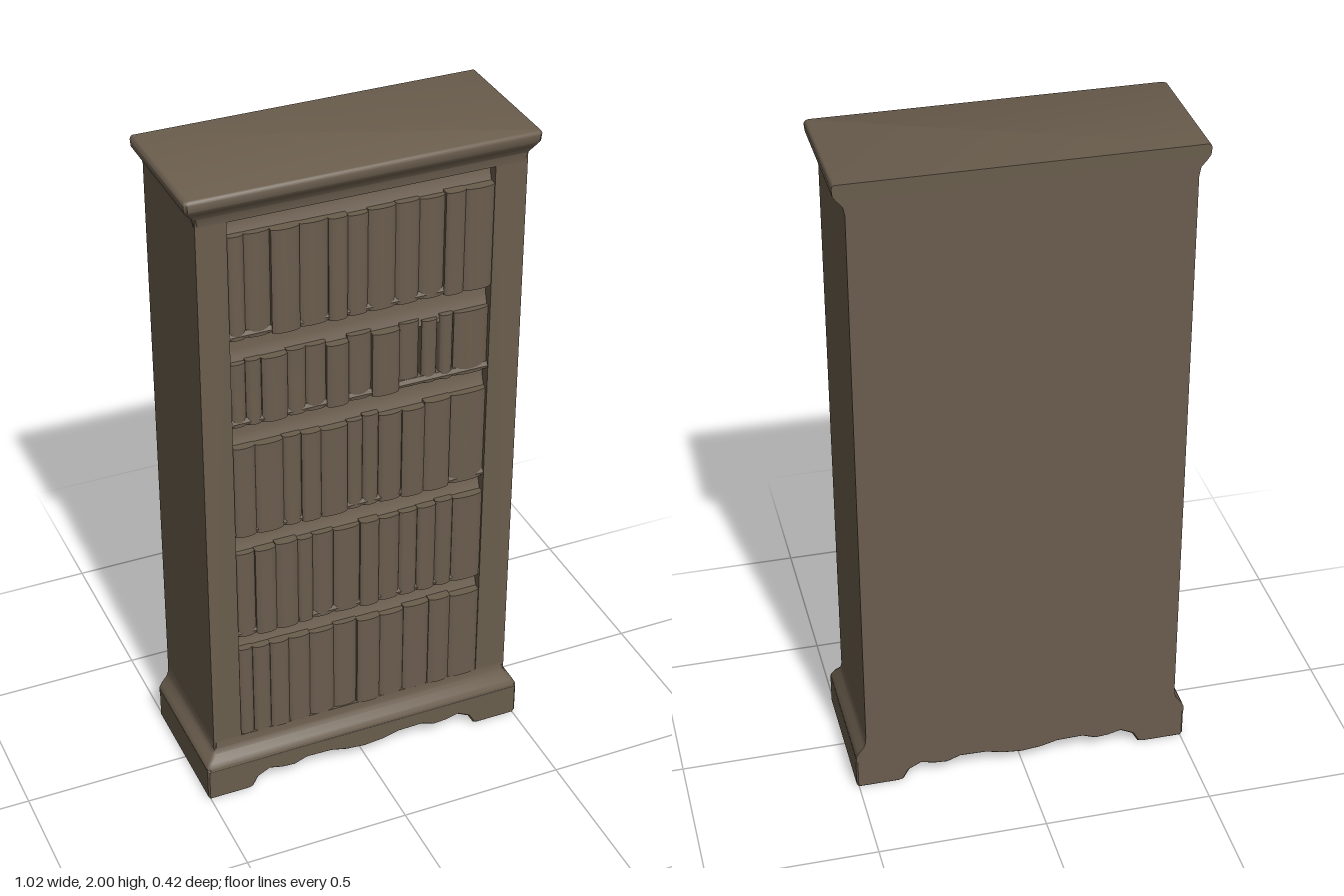
import * as THREE from 'three';
import { toCreasedNormals } from 'three/addons/utils/BufferGeometryUtils.js';

const BACK = -0.21, FRONT = 0.18, HALF = 0.475;
const LEFT = -0.388, RIGHT = 0.38; // edges of the shelf opening

// Stack of rectangles with clipped front corners; each level is [y, half width, front z]
function loft(levels, clip = 0.008) {
  const pos = [], index = [], n = 6;
  for (const [y, h, f] of levels) {
    pos.push(-h, y, BACK, -h, y, f - clip, -h + clip, y, f, h - clip, y, f, h, y, f - clip, h, y, BACK);
  }
  for (let i = 0; i < levels.length - 1; i++) {
    for (let j = 0; j < n; j++) {
      const a = i * n + j, b = i * n + (j + 1) % n;
      index.push(a, b, b + n, a, b + n, a + n);
    }
  }
  const top = (levels.length - 1) * n;
  for (let j = 1; j < n - 1; j++) {
    index.push(0, j + 1, j, top, top + j, top + j + 1);
  }
  const g = new THREE.BufferGeometry();
  g.setAttribute('position', new THREE.Float32BufferAttribute(pos, 3));
  g.setIndex(index);
  return toCreasedNormals(g, 0.75);
}

// Profile in (z, y) swept across the opening
function sweepX(points) {
  const shape = new THREE.Shape(points.map(([z, y]) => new THREE.Vector2(-z, y)));
  const g = new THREE.ExtrudeGeometry(shape, { depth: RIGHT - LEFT, bevelEnabled: false });
  g.rotateY(Math.PI / 2).translate(LEFT, 0, 0);
  return toCreasedNormals(g, 0.6);
}

// Book with a softly rounded spine
function bookGeometry(w, h, z) {
  const s = new THREE.Shape();
  s.moveTo(-w / 2, -0.13);
  s.lineTo(w / 2, -0.13);
  s.lineTo(w / 2, -(z - 0.01));
  s.quadraticCurveTo(w * 0.4, -z, 0, -z);
  s.quadraticCurveTo(-w * 0.4, -z, -w / 2, -(z - 0.01));
  // the outline is mirrored in z, then stood upright
  const g = new THREE.ExtrudeGeometry(s, { depth: h, bevelEnabled: false, curveSegments: 4 });
  g.rotateX(-Math.PI / 2);
  return toCreasedNormals(g, 0.6);
}

export function createModel() {
  const model = new THREE.Group();
  model.name = 'bookcase';
  const wood = new THREE.MeshStandardMaterial({ color: 0x6a5d4d });
  wood.name = 'brown wood';

  let seed = 7;
  const random = () => (seed = (seed * 16807) % 2147483647) / 2147483647;

  const add = (name, geometry, parent = model) => {
    const mesh = new THREE.Mesh(geometry, wood);
    mesh.name = name;
    parent.add(mesh);
    return mesh;
  };

  // Carcass behind the opening
  add('carcass', new THREE.BoxGeometry(HALF * 2, 1.86, 0.34)).position.set(0, 1.02, BACK + 0.17);

  // Face frame around the opening
  const frame = new THREE.Shape();
  frame.moveTo(-HALF, 0.09).lineTo(HALF, 0.09).lineTo(HALF, 1.95).lineTo(-HALF, 1.95);
  const hole = new THREE.Path();
  hole.moveTo(LEFT, 0.19).lineTo(LEFT, 1.91).lineTo(RIGHT, 1.91).lineTo(RIGHT, 0.19);
  frame.holes.push(hole);
  add('faceFrame', new THREE.ExtrudeGeometry(frame, { depth: FRONT - 0.13, bevelEnabled: false }))
    .position.z = 0.13;

  // Crown moulding
  add('crown', loft([
    [1.91, HALF, FRONT], [1.935, 0.48, 0.182], [1.955, 0.497, 0.191],
    [1.968, 0.506, 0.198], [1.99, 0.508, 0.2], [1.997, 0.505, 0.197], [2, 0.5, 0.192],
  ]));

  // Plinth with feet and a scalloped apron
  const half = [[0.365, 0.004], [0.347, 0.036], [0.31, 0.055], [0.27, 0.045], [0.23, 0.042],
    [0.19, 0.057], [0.11, 0.055], [0.06, 0.042]];
  const outline = [[0.507, 0.11], [-0.507, 0.11], [-0.507, 0.01], [-0.5, 0],
    [-0.38, 0], ...half.map(([x, y]) => [-x, y]), [0, 0.036],
    ...half.slice().reverse(), [0.38, 0], [0.5, 0], [0.507, 0.01]];
  const plinth = new THREE.ExtrudeGeometry(
    new THREE.Shape(outline.map(([x, y]) => new THREE.Vector2(x, y))),
    { depth: 0.41, bevelEnabled: true, bevelThickness: 0.005, bevelSize: 0.005, bevelOffset: -0.005, bevelSegments: 1 });
  add('plinth', toCreasedNormals(plinth, 0.6)).position.z = BACK + 0.005;
  add('plinthMoulding', loft([
    [0.095, 0.507, 0.21], [0.115, 0.506, 0.209], [0.13, 0.498, 0.202],
    [0.15, 0.482, 0.188], [0.165, 0.477, 0.182], [0.19, HALF, FRONT],
  ]));

  // Shelf bays: floor, top of the books, underside of the shelf above
  const bays = [[0.19, 0.5, 0.553], [0.553, 0.85, 0.908], [0.908, 1.205, 1.272],
    [1.272, 1.475, 1.547], [1.547, 1.855, 1.91]];
  bays.forEach(([floor, top, ceiling], row) => {
    const bay = new THREE.Group();
    bay.name = 'bay' + (row + 1);
    model.add(bay);

    // Shelf board with a rounded nose
    if (row > 0) {
      add('shelf', sweepX([[0.12, floor], [0.168, floor], [0.176, floor + 0.004],
        [0.178, floor + 0.012], [0.172, floor + 0.024], [0.12, floor + 0.024]]), bay);
    }
    // Sloping shadow gap above the books
    add('gap', sweepX([[0.12, top - 0.02], [0.165, top - 0.02], [0.155, top + 0.008],
      [0.148, top + 0.03], [0.143, ceiling + 0.005], [0.12, ceiling + 0.005]]), bay);

    // Packed row of books
    let x = LEFT;
    while (x < RIGHT - 0.001) {
      let w = 0.045 + random() * 0.04;
      if (RIGHT - x - w < 0.04) w = RIGHT - x;
      const inset = row === 3 && x > 0.1 && x < 0.26 ? 0.008 : 0;
      const h = top - floor + (random() - 0.5) * 0.012;
      const book = add('book', bookGeometry(w - inset, h, 0.176 + random() * 0.012 - inset), bay);
      book.position.set(x + w / 2, floor, 0);
      // the spine must face the front
      book.geometry.computeBoundingBox();
      if (book.geometry.boundingBox.max.z < 0) book.geometry.rotateY(Math.PI);
      x += w;
    }
  });

  return model;
}
